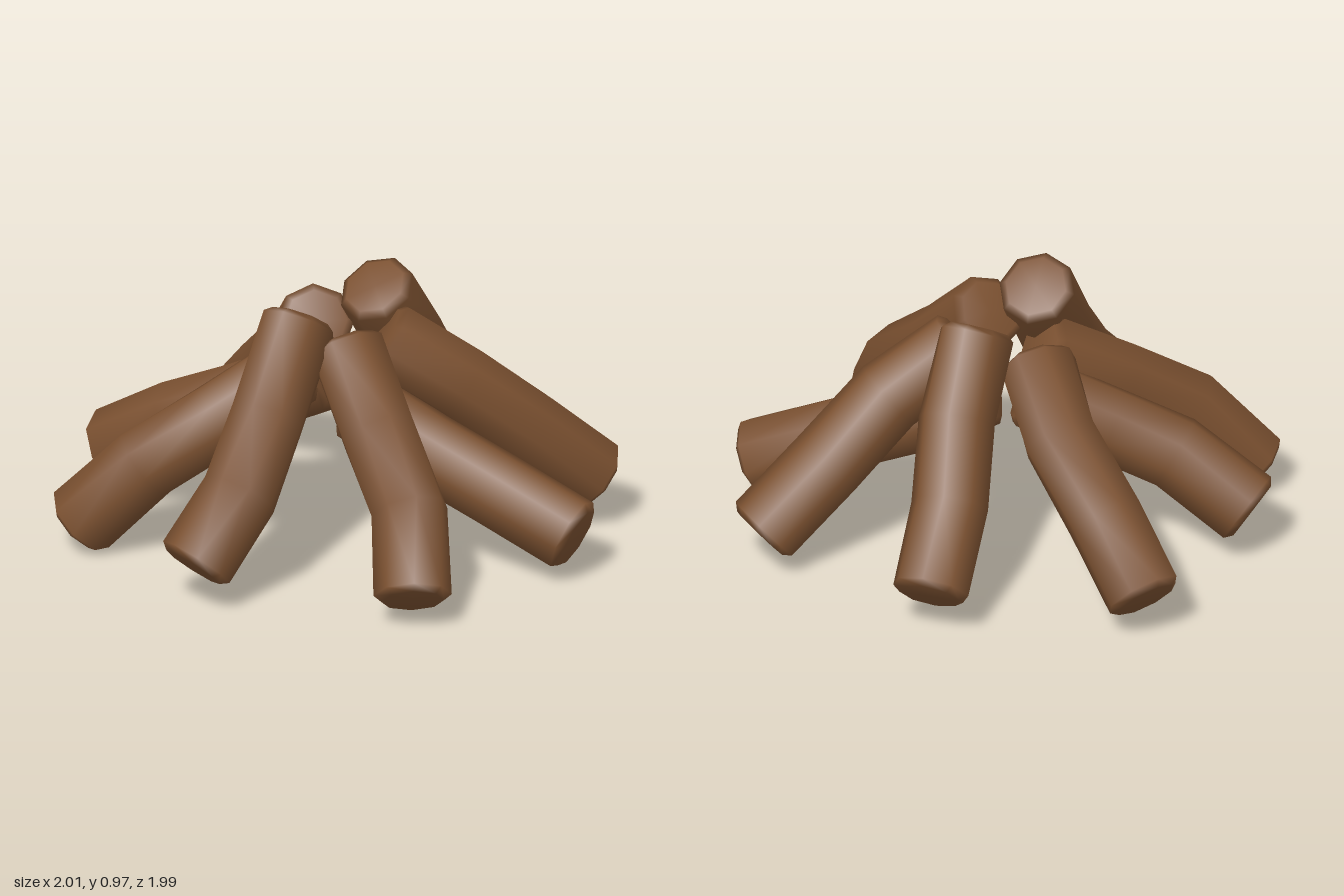
import * as THREE from 'three';

const SIDES = 8;
const RADIUS = 0.14;
const BEVEL = 0.022;

// Axis of each log, from the ground end to the leaning upper end
const LOGS = {
  frontLog: [[-0.02, 0.125, 0.895], [0.035, 0.36, 0.7], [0.01, 0.56, 0.44], [-0.02, 0.79, 0.19]],
  backLog: [[-0.02, 0.165, -0.905], [0, 0.37, -0.67], [0.035, 0.58, -0.42], [-0.02, 0.75, -0.17]],
  leftLog: [[0.905, 0.17, 0.19], [0.66, 0.38, 0.165], [0.41, 0.59, 0.155], [0.17, 0.76, 0.07]],
  rightLog: [[-0.9, 0.1, -0.18], [-0.7, 0.34, -0.06], [-0.44, 0.5, -0.01], [-0.16, 0.67, 0.03]],
  backRightLog: [[-0.64, 0.19, -0.585], [-0.47, 0.36, -0.37], [-0.28, 0.46, -0.23], [-0.04, 0.59, -0.07]],
  frontRightLog: [[-0.695, 0.18, 0.485], [-0.51, 0.39, 0.42], [-0.35, 0.6, 0.26], [-0.18, 0.88, 0.11]],
  backLeftLog: [[0.63, 0.18, -0.515], [0.46, 0.4, -0.36], [0.33, 0.63, -0.19], [0.18, 0.885, -0.08]],
  frontLeftLog: [[0.66, 0.17, 0.665], [0.45, 0.29, 0.46], [0.25, 0.4, 0.27], [0.05, 0.53, 0.1]],
};

// Eight-sided bent log with bevelled, capped ends
function logGeometry(points) {
  const axis = points.map((p) => new THREE.Vector3(...p));
  const last = axis.length - 1;
  const tangents = axis.map((p, i) =>
    axis[Math.min(i + 1, last)].clone().sub(axis[Math.max(i - 1, 0)]).normalize());
  const rings = axis.map((p, i) => ({ p, t: tangents[i], r: RADIUS }));
  const cap = (i, offset, r) => ({ p: axis[i].clone().addScaledVector(tangents[i], offset), t: tangents[i], r });
  rings.unshift(cap(0, -BEVEL, 0), cap(0, -BEVEL, RADIUS * 0.8));
  rings.push(cap(last, BEVEL, RADIUS * 0.8), cap(last, BEVEL, 0));

  const positions = [];
  const index = [];
  rings.forEach(({ p, t, r }, i) => {
    const side = new THREE.Vector3(0, 1, 0).cross(t).normalize();
    const up = t.clone().cross(side);
    for (let j = 0; j < SIDES; j++) {
      const a = (j / SIDES) * Math.PI * 2;
      const v = p.clone().addScaledVector(side, Math.cos(a) * r).addScaledVector(up, Math.sin(a) * r);
      positions.push(v.x, v.y, v.z);
      if (i === 0) continue;
      const k = (j + 1) % SIDES;
      const a0 = (i - 1) * SIDES + j, b0 = (i - 1) * SIDES + k;
      const a1 = i * SIDES + j, b1 = i * SIDES + k;
      if (rings[i - 1].r > 0) index.push(a0, b0, a1);
      if (r > 0) index.push(b0, b1, a1);
    }
  });
  const geometry = new THREE.BufferGeometry();
  geometry.setAttribute('position', new THREE.Float32BufferAttribute(positions, 3));
  geometry.setIndex(index);
  geometry.computeVertexNormals();
  return geometry;
}

export function createModel() {
  const group = new THREE.Group();
  group.name = 'logPile';
  const bark = new THREE.MeshStandardMaterial({ color: 0x7a5030 });
  for (const [name, points] of Object.entries(LOGS)) {
    const log = new THREE.Mesh(logGeometry(points), bark);
    log.name = name;
    group.add(log);
  }
  return group;
}
